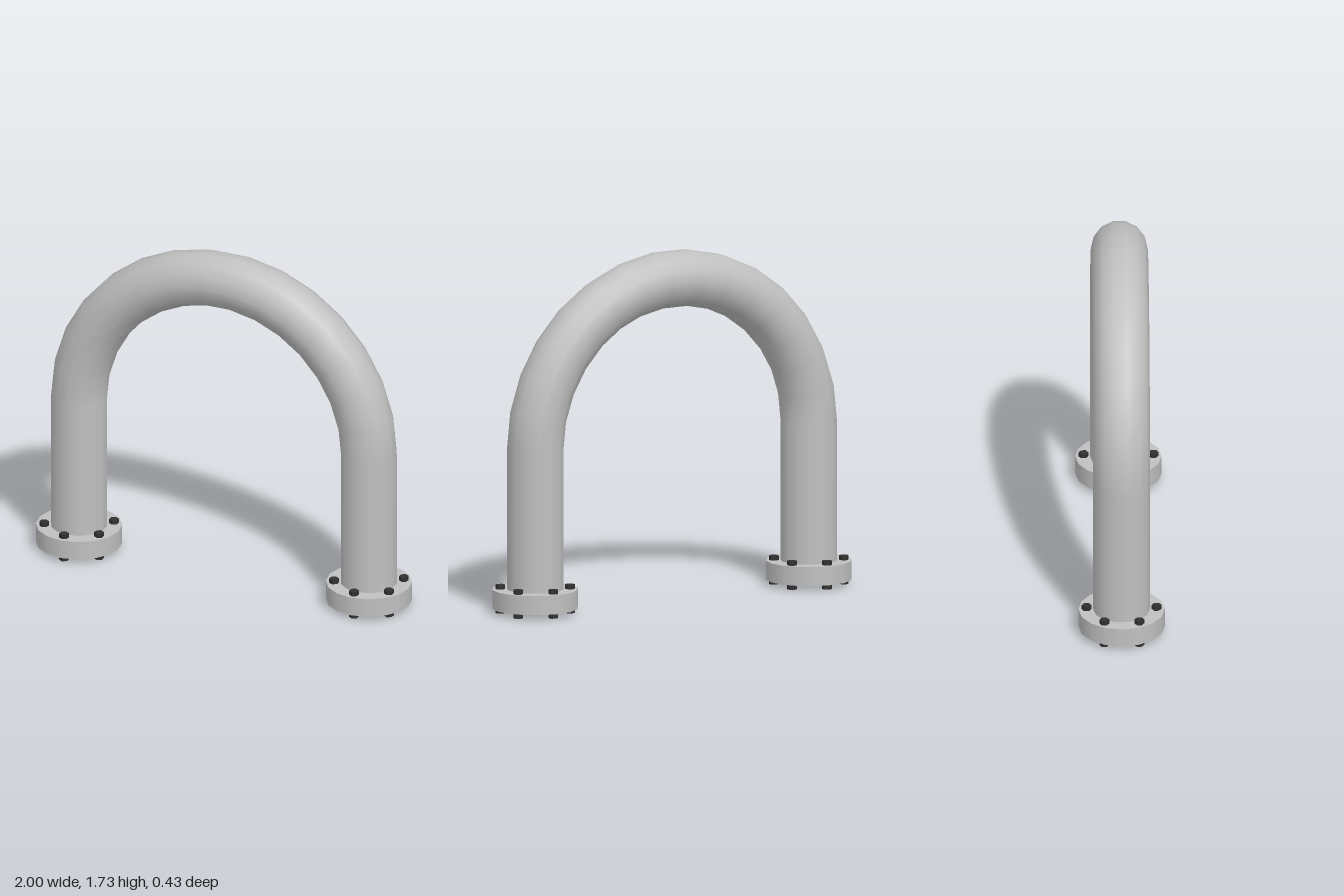
import * as THREE from 'three';

const LEG_X = 0.7875, SPRING_Y = 0.81, PIPE_R = 0.14, PIPE_SIDES = 14;
const FLANGE_R = 0.2125, FLANGE_BOTTOM = 0.025, FLANGE_TOP = 0.12;
const BOLT_CIRCLE = 0.172, BOLT_R = 0.024, BOLT_TOP = 0.142;

// Half circle joining the two legs
class BendCurve extends THREE.Curve {
  getPoint(t, target = new THREE.Vector3()) {
    const a = Math.PI * t;
    return target.set(LEG_X * Math.cos(a), SPRING_Y + LEG_X * Math.sin(a), 0);
  }
}

export function createModel() {
  const steel = new THREE.MeshStandardMaterial({ color: 0xc0c0c0 });
  steel.name = 'light grey steel';
  const dark = new THREE.MeshStandardMaterial({ color: 0x303030 });
  dark.name = 'dark bolt steel';

  const model = new THREE.Group();
  model.name = 'flangedPipeBend';

  const add = (parent, name, geometry, material, x = 0, y = 0, z = 0) => {
    const mesh = new THREE.Mesh(geometry, material);
    mesh.name = name;
    mesh.position.set(x, y, z);
    parent.add(mesh);
  };

  // Curved top of the pipe
  add(model, 'pipeBend', new THREE.TubeGeometry(new BendCurve(), 15, PIPE_R, PIPE_SIDES), steel);

  const legHeight = SPRING_Y - FLANGE_TOP;
  const legGeo = new THREE.CylinderGeometry(PIPE_R, PIPE_R, legHeight, PIPE_SIDES, 1, true);
  const flangeGeo = new THREE.CylinderGeometry(FLANGE_R, FLANGE_R, FLANGE_TOP - FLANGE_BOTTOM, 16);
  const boltGeo = new THREE.CylinderGeometry(BOLT_R, BOLT_R, BOLT_TOP, 6).toNonIndexed();
  boltGeo.computeVertexNormals();

  for (const [side, x] of [['left', LEG_X], ['right', -LEG_X]]) {
    const foot = new THREE.Group();
    foot.name = side + 'Foot';
    foot.position.x = x;
    model.add(foot);

    // Straight leg and its flange
    add(foot, side + 'PipeLeg', legGeo, steel, 0, FLANGE_TOP + legHeight / 2);
    add(foot, side + 'Flange', flangeGeo, steel, 0, (FLANGE_TOP + FLANGE_BOTTOM) / 2);

    // Six hexagonal bolts passing through the flange
    for (let i = 0; i < 6; i++) {
      const a = i * Math.PI / 3;
      add(foot, side + 'Bolt' + (i + 1), boltGeo, dark,
        BOLT_CIRCLE * Math.sin(a), BOLT_TOP / 2, BOLT_CIRCLE * Math.cos(a));
    }
  }
  return model;
}
